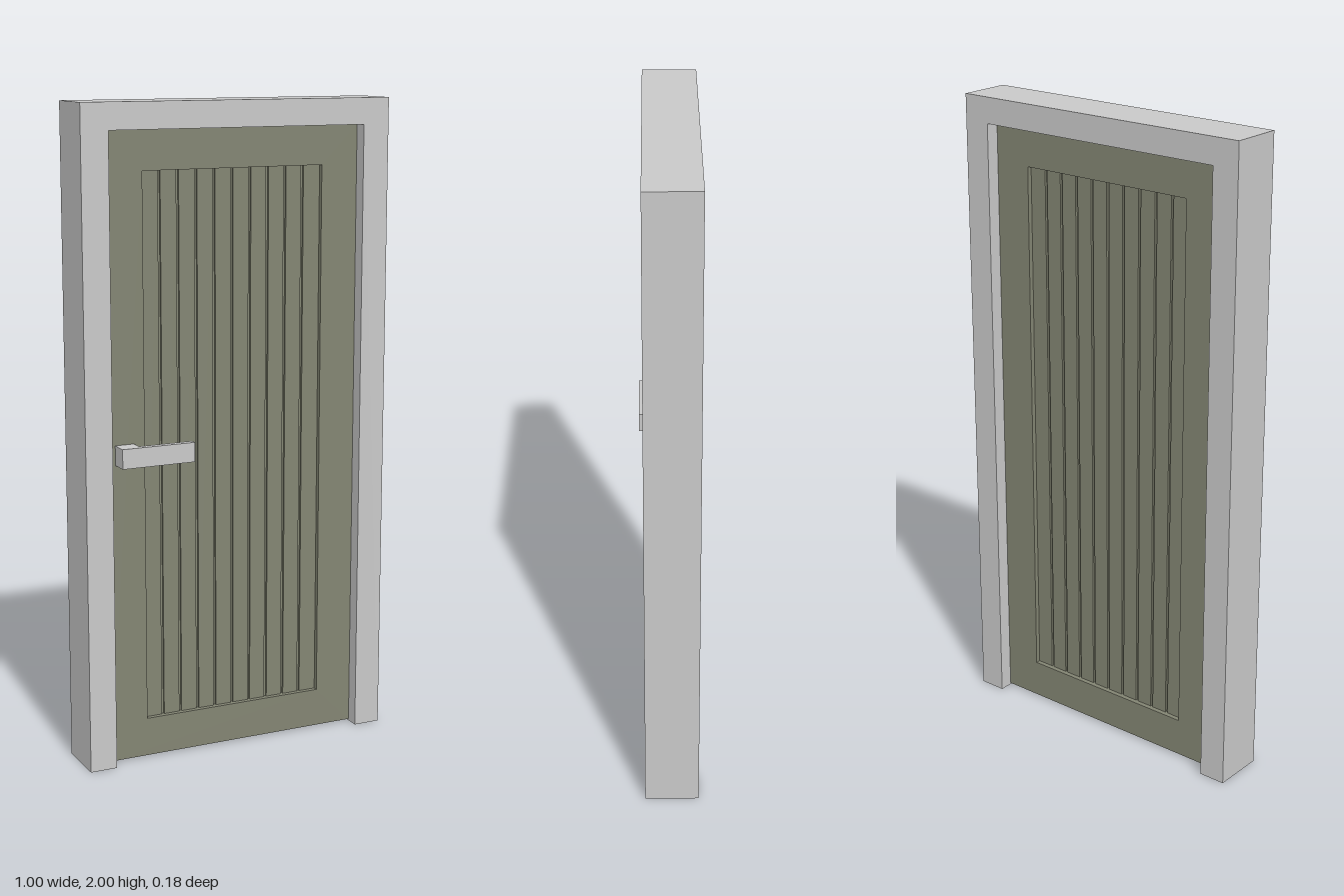
import * as THREE from 'three';

const MID_Z = -0.0075; // centre plane of frame and door

function material(name, color) {
  const m = new THREE.MeshStandardMaterial({ color });
  m.name = name;
  return m;
}

function polygon(points) {
  return new THREE.Shape(points.map(([x, y]) => new THREE.Vector2(x, y)));
}

// Flat outline extruded evenly about the centre plane
function slab(name, shape, depth, mat) {
  const geo = new THREE.ExtrudeGeometry(shape, { depth, bevelEnabled: false });
  geo.translate(0, 0, MID_Z - depth / 2);
  const mesh = new THREE.Mesh(geo, mat);
  mesh.name = name;
  return mesh;
}

// Box given by its minimum and maximum corners
function box(name, [x0, y0, z0], [x1, y1, z1], mat) {
  const mesh = new THREE.Mesh(new THREE.BoxGeometry(x1 - x0, y1 - y0, z1 - z0), mat);
  mesh.position.set((x0 + x1) / 2, (y0 + y1) / 2, (z0 + z1) / 2);
  mesh.name = name;
  return mesh;
}

export function createModel() {
  const grey = material('light grey', 0xc9c9c9);
  const olive = material('olive green', 0x838573);
  const model = new THREE.Group();
  model.name = 'door';

  // Surround: two jambs and a lintel in one piece
  const ox = 0.415, oy = 1.92;
  model.add(slab('doorFrame', polygon([
    [-0.5, 0], [-ox, 0], [-ox, oy], [ox, oy], [ox, 0], [0.5, 0], [0.5, 2], [-0.5, 2],
  ]), 0.165, grey));

  // Door leaf: stiles and rails around a recessed opening
  const leaf = new THREE.Group();
  leaf.name = 'doorLeaf';
  const px = 0.295, py0 = 0.125, py1 = 1.8;
  const rails = polygon([[-ox, 0.005], [ox, 0.005], [ox, oy], [-ox, oy]]);
  rails.holes.push(polygon([[-px, py0], [-px, py1], [px, py1], [px, py0]]));
  leaf.add(slab('stilesAndRails', rails, 0.08, olive));

  // Groove floor between the planks
  leaf.add(box('panelCore', [-px, py0, MID_Z - 0.018], [px, py1, MID_Z + 0.018], olive));

  // Ten upright planks separated by narrow grooves
  const count = 10, groove = 0.008, pitch = (2 * px) / count;
  for (let i = 0; i < count; i++) {
    const x = -px + i * pitch;
    const left = i === 0 ? x : x + groove / 2;
    const right = i === count - 1 ? px : x + pitch - groove / 2;
    leaf.add(box('plank', [left, py0, MID_Z - 0.025], [right, py1, MID_Z + 0.025], olive));
  }
  model.add(leaf);

  // Lever handle: stub into the leaf and a flat bar
  const handle = new THREE.Group();
  handle.name = 'handle';
  handle.add(box('handleStub', [-0.39, 0.935, 0.03], [-0.33, 0.995, 0.07], grey));
  handle.add(box('handleBar', [-0.39, 0.935, 0.07], [-0.157, 0.995, 0.09], grey));
  model.add(handle);

  return model;
}
